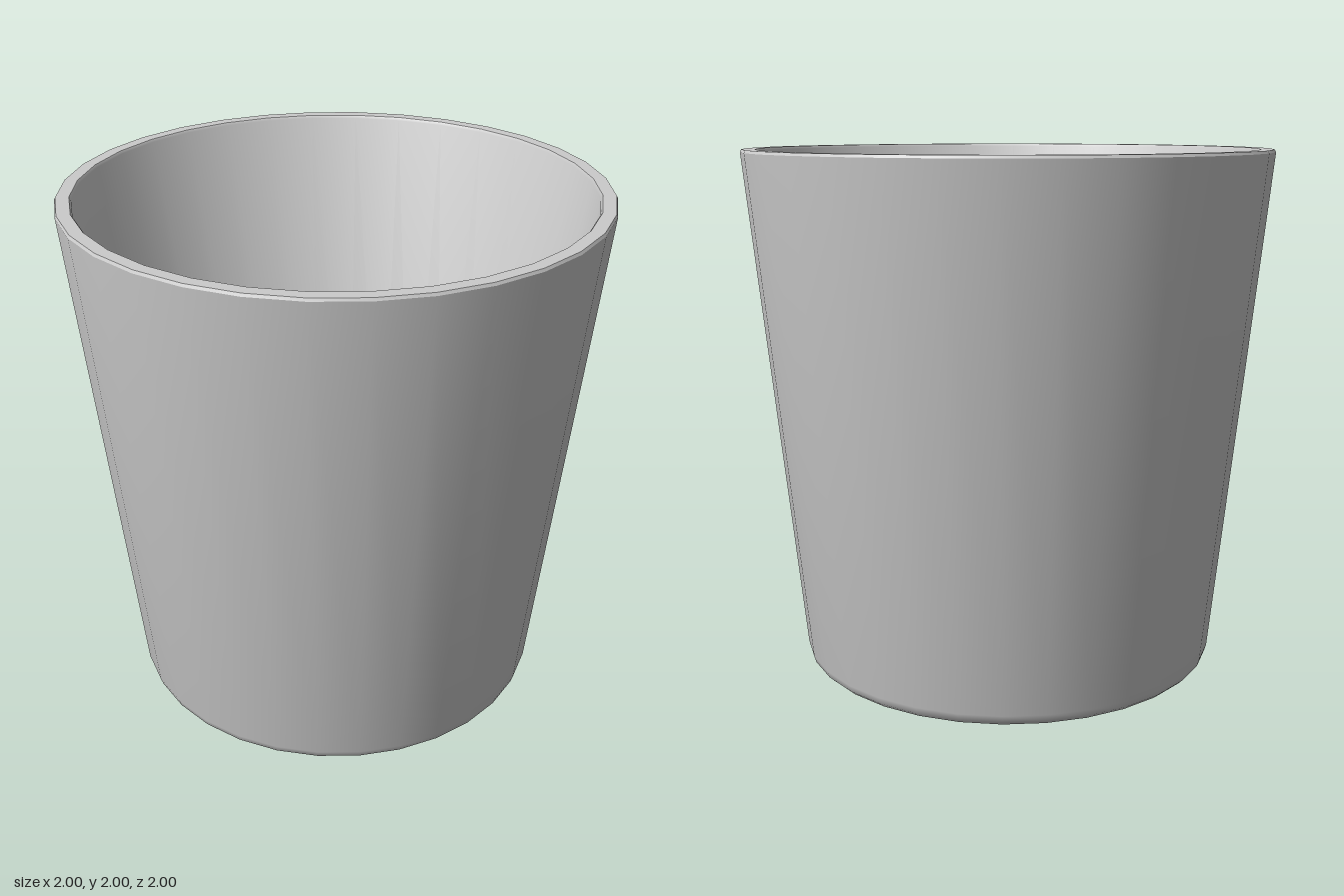
import * as THREE from 'three';
import { toCreasedNormals } from 'three/addons/utils/BufferGeometryUtils.js';

export function createModel() {
  const model = new THREE.Group();
  model.name = 'cup';

  // Closed profile: underside, rounded foot, outer wall, rim, inner wall, floor
  const profile = [
    [0, 0], [0.7, 0], [0.75, 0.005], [0.785, 0.017], [0.803, 0.034], [0.811, 0.06],
    [0.999, 1.99], [0.994, 2],
    [0.946, 2], [0.939, 1.99],
    [0.756, 0.11], [0.748, 0.085], [0.73, 0.068], [0.7, 0.06], [0.65, 0.057], [0, 0.057],
  ].map(([r, y]) => new THREE.Vector2(r, y));

  // Smooth walls and foot, crisp rim
  const geometry = toCreasedNormals(new THREE.LatheGeometry(profile, 32), 0.55);
  const body = new THREE.Mesh(geometry, new THREE.MeshStandardMaterial({ color: 0xcccccc }));
  body.name = 'cupBody';
  model.add(body);

  return model;
}
